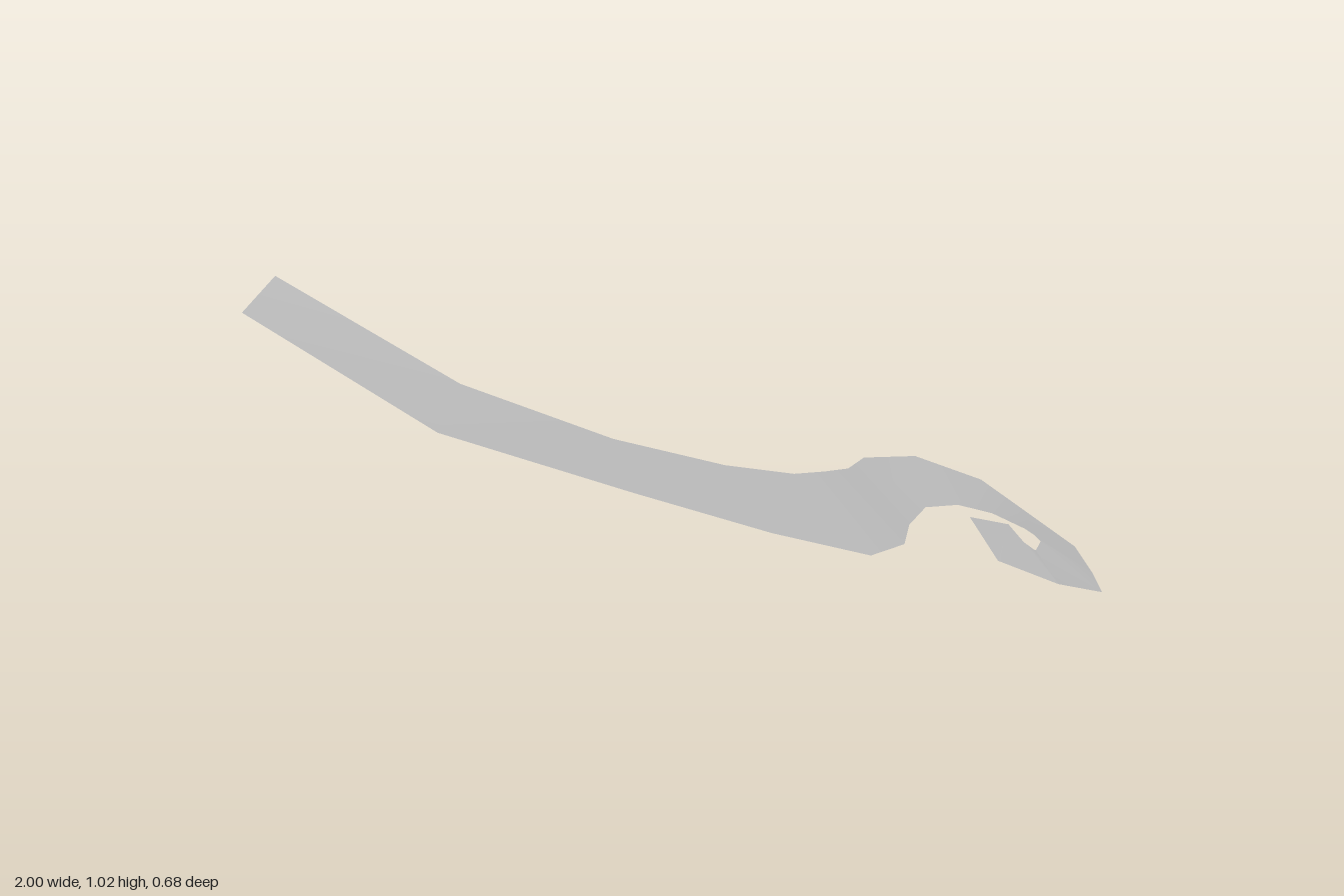
import * as THREE from 'three';

// Cross-sections of the ribbon, from the straight tip to the curled tip:
// inner-curl edge point, then outer-curl edge point
const sections = [
  [[-1, 1.01, 0.09], [-0.91, 1.02, -0.055]],
  [[-0.68, 0.81, 0.325], [-0.585, 0.81, 0.115]],
  [[-0.295, 0.625, 0.34], [-0.275, 0.65, 0.138]],
  [[0.01, 0.47, 0.315], [-0.02, 0.535, 0.108]],
  [[0.25, 0.355, 0.274], [0.165, 0.45, 0.033]],
  [[0.38, 0.3, 0.154], [0.26, 0.412, -0.028]],
  [[0.445, 0.276, 0.03], [0.35, 0.368, -0.108]],
  [[0.535, 0.25, -0.084], [0.437, 0.328, -0.225]],
  [[0.65, 0.203, -0.155], [0.613, 0.257, -0.328]],
  [[0.745, 0.16, -0.165], [0.795, 0.16, -0.338]],
  [[0.825, 0.114, -0.146], [0.91, 0.066, -0.303]],
  [[0.842, 0.103, -0.125], [1, 0, -0.218]],
  [[0.84, 0.105, -0.092], [0.975, 0.005, -0.076]],
  [[0.81, 0.106, -0.054], [0.945, 0.014, 0.033]],
  [[0.797, 0.117, -0.037], [0.785, 0.107, 0.115]],
  [[0.772, 0.138, -0.045], [0.785, 0.107, 0.115]],
  [[0.76, 0.157, -0.106], [0.642, 0.179, 0.088]],
  [[0.655, 0.198, -0.098], [0.642, 0.179, 0.088]],
];

// Joins neighbouring cross-sections into one open sheet
function ribbonGeometry(rows) {
  const index = [];
  for (let i = 0; i < rows.length - 1; i++) {
    const a = 2 * i, b = a + 1, c = a + 2, d = a + 3;
    index.push(a, c, d, a, d, b);
  }
  const geometry = new THREE.BufferGeometry();
  geometry.setAttribute('position', new THREE.Float32BufferAttribute(rows.flat(2), 3));
  geometry.setIndex(index);
  geometry.computeVertexNormals();
  return geometry;
}

export function createModel() {
  const gray = new THREE.MeshStandardMaterial({ color: 0xb4b4b4, side: THREE.DoubleSide });
  gray.name = 'gray';

  const ribbon = new THREE.Mesh(ribbonGeometry(sections), gray);
  ribbon.name = 'curledRibbon';

  const model = new THREE.Group();
  model.name = 'ribbon';
  model.add(ribbon);
  return model;
}
